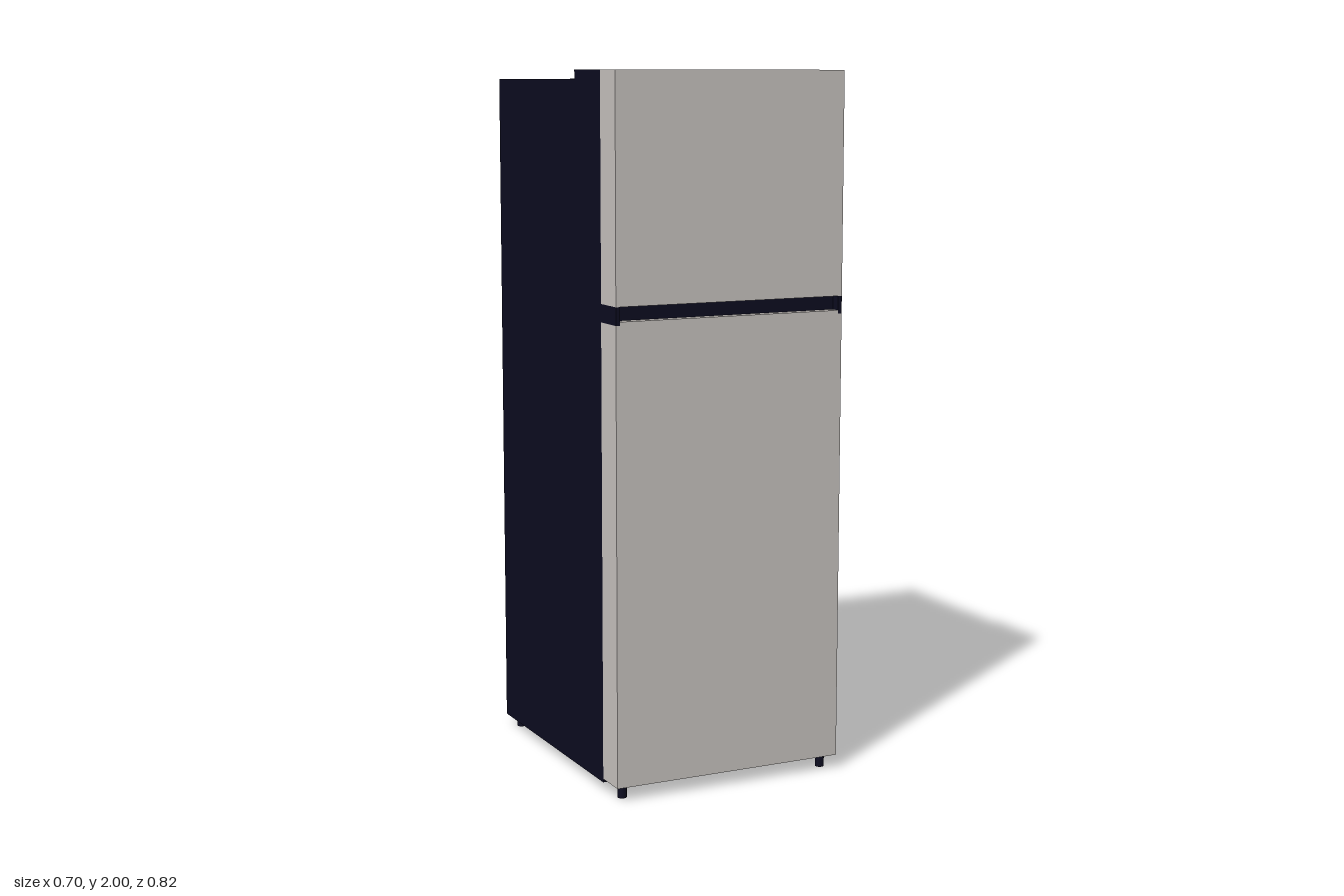
import * as THREE from 'three';

export function createModel() {
  const group = new THREE.Group();
  const steel = new THREE.MeshStandardMaterial({ color: 0xc9c4c0 });
  steel.name = 'brushed steel';
  const dark = new THREE.MeshStandardMaterial({ color: 0x0c0c20 });
  dark.name = 'dark navy';

  // Box given by its min and max corners
  const box = (name, mat, [x0, y0, z0], [x1, y1, z1]) => {
    const mesh = new THREE.Mesh(new THREE.BoxGeometry(x1 - x0, y1 - y0, z1 - z0), mat);
    mesh.position.set((x0 + x1) / 2, (y0 + y1) / 2, (z0 + z1) / 2);
    mesh.name = name;
    group.add(mesh);
  };

  const W = 0.348, BACK = -0.412, SEAM = 0.316, FRONT = 0.412;
  const CAP = 0.012; // width of the handle end caps

  // Cabinet with the raised hinge cover on top
  box('cabinet', dark, [-W, 0.03, BACK], [W, 1.975, SEAM]);
  box('hingeCover', dark, [-W, 1.975, 0.145], [W, 2, SEAM]);

  // Doors; the lower one is notched at its top corners for the end caps
  box('freezerDoor', steel, [-W, 1.375, SEAM], [W, 2, FRONT]);
  const s = new THREE.Shape();
  s.moveTo(-W, 0.04);
  s.lineTo(W, 0.04);
  s.lineTo(W, 1.325);
  s.lineTo(W - CAP, 1.325);
  s.lineTo(W - CAP, 1.335);
  s.lineTo(-W + CAP, 1.335);
  s.lineTo(-W + CAP, 1.325);
  s.lineTo(-W, 1.325);
  s.closePath();
  const door = new THREE.Mesh(
    new THREE.ExtrudeGeometry(s, { depth: FRONT - SEAM, bevelEnabled: false }), steel);
  door.position.z = SEAM;
  door.name = 'fridgeDoor';
  group.add(door);

  // Recessed grip between the doors, closed by end caps
  box('gripRecess', dark, [-W + CAP, 1.335, SEAM], [W - CAP, 1.375, 0.385]);
  for (const side of [-1, 1]) {
    const a = side * W, b = side * (W - CAP);
    box(side > 0 ? 'leftEndCap' : 'rightEndCap', dark,
      [Math.min(a, b), 1.325, SEAM], [Math.max(a, b), 1.375, FRONT]);
  }

  // Feet
  for (const x of [-0.316, 0.316]) for (const z of [-0.37, 0.372]) {
    const foot = new THREE.Mesh(new THREE.CylinderGeometry(0.013, 0.013, 0.042, 16), dark);
    foot.position.set(x, 0.021, z);
    foot.name = 'foot';
    group.add(foot);
  }
  return group;
}
